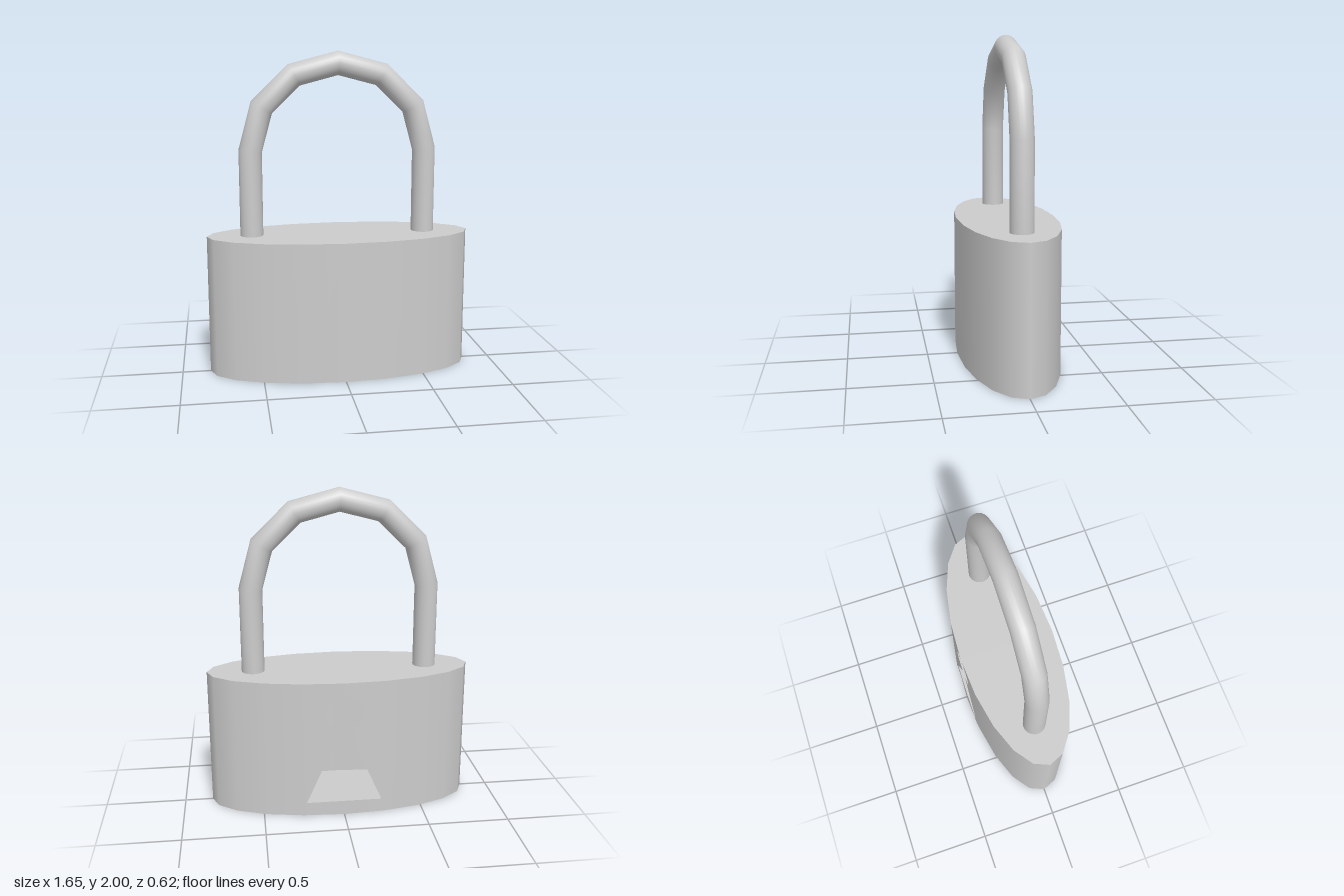
import * as THREE from 'three';

const RX = 0.825, RZ = 0.31, H = 0.875, SIDES = 20;
const STEP = (Math.PI * 2) / SIDES;
// the keyhole spans the two facets that meet at the middle of the back
const EDGE_X = RX * Math.sin(STEP), EDGE_Z = -RZ * Math.cos(STEP);
const KEYHOLE_Z = -0.305;

// Half of the keyhole outline (x >= 0), from the top down
function keyholeHalf() {
  const pts = [];
  for (let i = 0; i <= 4; i++) {
    const a = (i / 4) * 2.93;
    pts.push(new THREE.Vector2(0.12 * Math.sin(a), 0.682 + 0.12 * Math.cos(a)));
  }
  pts.push(new THREE.Vector2(0.235, 0.09), new THREE.Vector2(0, 0.09));
  return pts;
}

// One back facet with its half of the keyhole cut away
function backPanel(side) {
  const pts = [[0, 0], [EDGE_X, 0], [EDGE_X, H], [0, H]].map((p) => new THREE.Vector2(...p));
  pts.push(...keyholeHalf());
  const geo = new THREE.ShapeGeometry(new THREE.Shape(pts.map((p) => new THREE.Vector2(p.x * side, p.y))));
  geo.rotateY(Math.PI);
  const pos = geo.attributes.position, n = new THREE.Vector3();
  for (let i = 0; i < pos.count; i++) {
    const x = pos.getX(i), y = pos.getY(i);
    const onRim = y < 0.001 || y > H - 0.001;
    const z = !onRim ? KEYHOLE_Z : Math.abs(x) > 0.001 ? EDGE_Z : -RZ;
    pos.setZ(i, z);
    n.set(x / RX ** 2, 0, z / RZ ** 2).normalize();
    geo.attributes.normal.setXYZ(i, n.x, n.y, n.z);
  }
  return geo;
}

// Round bar along a flat path, with mitred joints
function mitredBar(path, r, sides) {
  const v = [], idx = [];
  path.forEach((p, i) => {
    const before = path[Math.max(i - 1, 0)], after = path[Math.min(i + 1, path.length - 1)];
    const d1 = (i ? p.clone().sub(before) : after.clone().sub(p)).normalize();
    const d2 = (i < path.length - 1 ? after.clone().sub(p) : d1.clone()).normalize();
    const t = d1.clone().add(d2).normalize();
    const m = r / t.dot(d1);
    for (let j = 0; j < sides; j++) {
      const a = (j / sides) * Math.PI * 2;
      v.push(p.x - t.y * m * Math.cos(a), p.y + t.x * m * Math.cos(a), r * Math.sin(a));
      if (i === 0) continue;
      const k = (j + 1) % sides, lo = (i - 1) * sides, hi = i * sides;
      idx.push(lo + j, lo + k, hi + j, lo + k, hi + k, hi + j);
    }
  });
  const geo = new THREE.BufferGeometry();
  geo.setAttribute('position', new THREE.Float32BufferAttribute(v, 3));
  geo.setIndex(idx);
  geo.computeVertexNormals();
  return geo;
}

export function createModel() {
  const model = new THREE.Group();
  // thin sheet: the hollow inside shows through the keyhole
  const sheet = new THREE.MeshStandardMaterial({ color: 0xcccccc, side: THREE.DoubleSide });
  const solid = new THREE.MeshStandardMaterial({ color: 0xcccccc });
  const add = (parent, name, geo, mat) => {
    const mesh = new THREE.Mesh(geo, mat);
    mesh.name = name;
    parent.add(mesh);
    return mesh;
  };

  // Body: hollow oval case, its back facets pierced by the keyhole
  const body = new THREE.Group();
  body.name = 'body';
  model.add(body);
  const wall = new THREE.CylinderGeometry(1, 1, H, SIDES - 2, 1, true, Math.PI + STEP, Math.PI * 2 - 2 * STEP);
  add(body, 'sideWall', wall.scale(RX, 1, RZ).translate(0, H / 2, 0), sheet);
  add(body, 'topFace', new THREE.CircleGeometry(1, SIDES).rotateX(-Math.PI / 2).scale(RX, 1, RZ).translate(0, H, 0), sheet);
  add(body, 'bottomFace', new THREE.CircleGeometry(1, SIDES).rotateX(Math.PI / 2).scale(RX, 1, RZ), sheet);
  add(body, 'backPanelLeft', backPanel(-1), sheet);
  add(body, 'backPanelRight', backPanel(1), sheet);

  // Shackle: two straight legs joined by a faceted arch
  const path = [new THREE.Vector2(0.542, 0.86)];
  for (let i = 0; i <= 6; i++) {
    const a = (i / 6) * Math.PI;
    path.push(new THREE.Vector2(0.542 * Math.cos(a), 1.4 + 0.528 * Math.sin(a)));
  }
  path.push(new THREE.Vector2(-0.542, 0.86));
  const shackle = add(model, 'shackle', mitredBar(path, 0.071, 24), solid);
  shackle.position.set(-0.005, 0, -0.006);
  return model;
}
